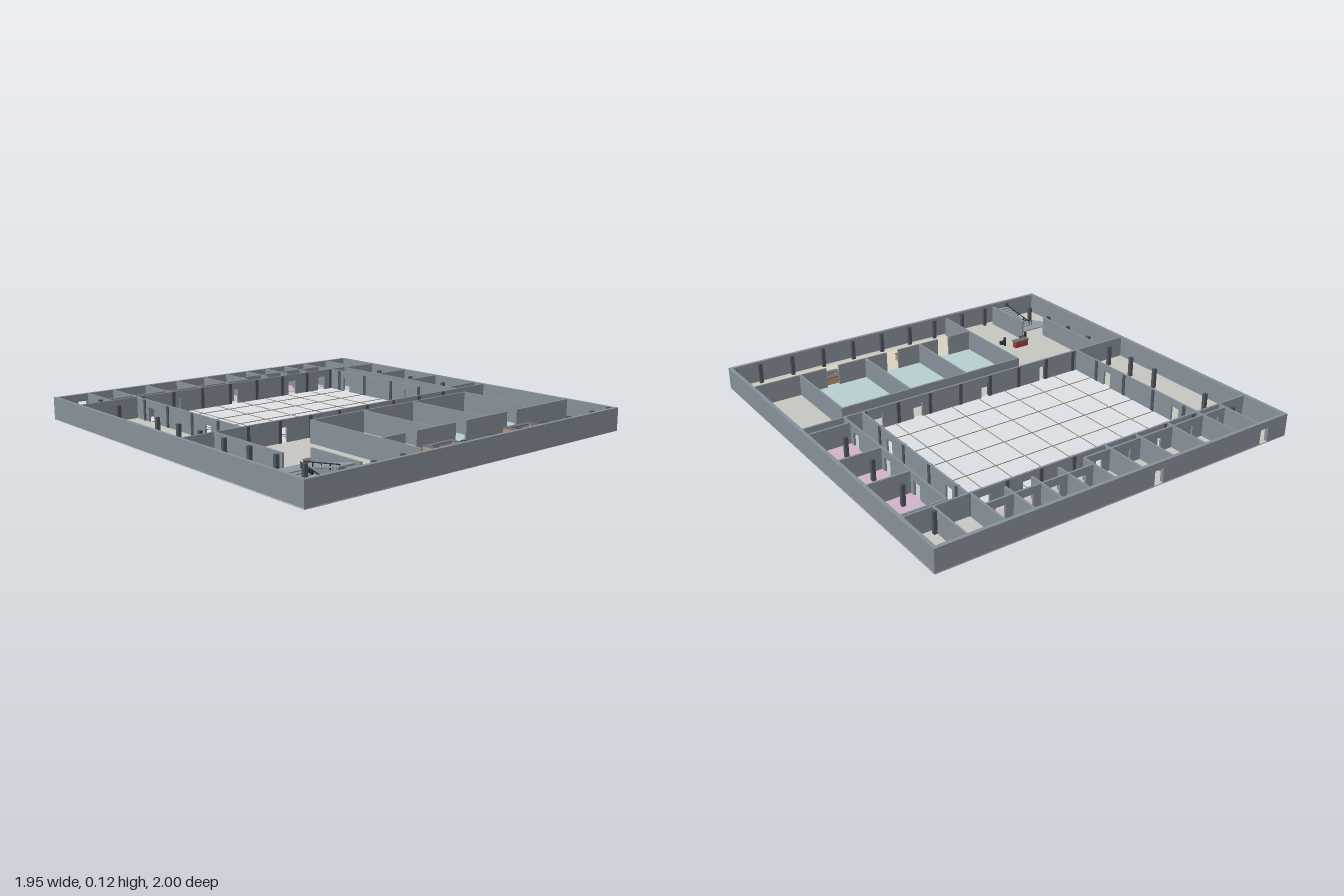
import * as THREE from 'three';

const mat = (color, extra = {}) => new THREE.MeshStandardMaterial({ color, ...extra });
const M = {
  wall: mat(0x87919a), column: mat(0x50565e), floor: mat(0xc8c8c3), pink: mat(0xd2b4ca),
  blue: mat(0xb9cfd0), cream: mat(0xdad4be), dark: mat(0x6c717a), tan: mat(0xb8977a),
  red: mat(0xa83a38), black: mat(0x2c2e32), stair: mat(0x929aa3), line: mat(0x968a74),
};
const H = 0.115, FLOOR = 0.006, DOOR_H = 0.078, DOOR_W = 0.05;

export function createModel() {
  const model = new THREE.Group();
  model.name = 'floorOfBuilding';
  const section = (name) => {
    const g = new THREE.Group();
    g.name = name;
    model.add(g);
    return g;
  };

  // Box given by its limits on each axis
  const box = (parent, name, m, x0, x1, y0, y1, z0, z1) => {
    const mesh = new THREE.Mesh(new THREE.BoxGeometry(x1 - x0, y1 - y0, z1 - z0), m);
    mesh.position.set((x0 + x1) / 2, (y0 + y1) / 2, (z0 + z1) / 2);
    mesh.name = name;
    parent.add(mesh);
    return mesh;
  };

  // Straight wall along x or z, split around doorways; a lintel closes each one unless it is open to the top
  const wall = (parent, name, axis, at, from, to, { doors = [], t = 0.01, open = false, width = DOOR_W } = {}) => {
    const piece = (a, b, y0, label) => axis === 'x'
      ? box(parent, label, M.wall, a, b, y0, H, at - t / 2, at + t / 2)
      : box(parent, label, M.wall, at - t / 2, at + t / 2, y0, H, a, b);
    let start = from;
    for (const d of [...doors].sort((a, b) => a - b)) {
      piece(start, d - width / 2, 0.001, name);
      if (!open) piece(d - width / 2, d + width / 2, DOOR_H, name + 'Lintel');
      start = d + width / 2;
    }
    piece(start, to, 0.001, name);
  };

  // Floor slab with the open court cut out
  const rect = (P, x0, x1, z0, z1) => {
    const p = new P();
    p.moveTo(x0, -z0).lineTo(x1, -z0).lineTo(x1, -z1).lineTo(x0, -z1).closePath();
    return p;
  };
  const slabShape = rect(THREE.Shape, -0.975, 0.975, -1, 1);
  slabShape.holes.push(rect(THREE.Path, -0.645, 0.65, -0.74, 0.16));
  const slabGeo = new THREE.ExtrudeGeometry(slabShape, { depth: FLOOR, bevelEnabled: false });
  const slab = new THREE.Mesh(slabGeo.rotateX(-Math.PI / 2), M.floor);
  slab.name = 'floorSlab';
  model.add(slab);

  // Coloured room floors
  const floors = section('roomFloors');
  const carpet = (name, m, x0, x1, z0, z1) => box(floors, name, m, x0, x1, FLOOR - 0.002, FLOOR + 0.002, z0, z1);
  carpet('backRoomsFloor', M.pink, 0.075, 0.64, -0.985, -0.78);
  carpet('sideRoomsFloor', M.pink, 0.745, 0.96, -0.725, 0.097);
  carpet('hallsFloor', M.blue, -0.32, 0.71, 0.25, 0.71);
  carpet('lobbyFloor', M.cream, -0.32, 0.96, 0.71, 0.95);

  // Outer walls
  const outer = section('outerWalls');
  const T = 0.018;
  wall(outer, 'backWall', 'x', -0.991, -0.975, 0.975, { t: T, doors: [-0.825, -0.165] });
  wall(outer, 'frontWall', 'x', 0.991, -0.975, 0.975, { t: T });
  for (const s of [-1, 1]) wall(outer, 'sideWall', 'z', s * 0.966, -0.982, 0.982, { t: T });

  // Walls around the court
  const court = section('courtWalls');
  const courtDoors = [-0.42, -0.05, 0.35, 0.57];
  wall(court, 'courtBackWall', 'x', -0.74, -0.96, 0.96, { doors: courtDoors });
  wall(court, 'courtFrontWall', 'x', 0.16, -0.96, 0.96, { doors: courtDoors });
  for (const x of [-0.645, 0.65]) wall(court, 'courtSideWall', 'z', x, -0.735, 0.155, { doors: [-0.6, -0.1] });

  // Fine grid across the court
  const grid = section('courtGrid');
  for (let i = 1; i < 8; i++) {
    const x = -0.65 + i * 0.161;
    box(grid, 'gridLine', M.line, x - 0.0012, x + 0.0012, 0.002, 0.005, -0.74, 0.16);
  }
  for (let i = 0; i < 5; i++) {
    const z = -0.62 + i * 0.161;
    box(grid, 'gridLine', M.line, -0.645, 0.65, 0.002, 0.005, z - 0.0012, z + 0.0012);
  }

  // Small rooms along the back
  const back = section('backRooms');
  for (const x of [-0.79, -0.645, -0.45, -0.255, -0.075, 0.64, 0.818]) wall(back, 'partition', 'z', x, -0.985, -0.74);
  for (const x of [0.075, 0.215, 0.355, 0.495]) wall(back, 'partition', 'z', x, -0.985, -0.78);
  wall(back, 'corridorWall', 'x', -0.78, -0.79, 0.075, { doors: [-0.72, -0.55, -0.35, -0.165, 0] });
  wall(back, 'roomWall', 'x', -0.845, 0.075, 0.64, { doors: [0.145, 0.285, 0.425, 0.567] });

  // Rooms along the side
  const side = section('sideRooms');
  wall(side, 'corridorWall', 'z', 0.745, -0.725, 0.16, { doors: [-0.5, -0.25, 0.04] });
  for (const z of [-0.725, -0.445, -0.195, 0.097]) wall(side, 'partition', 'x', z, 0.745, 0.96);

  // Three halls and the lobby in front of them
  const halls = section('halls');
  wall(halls, 'hallBackWall', 'x', 0.25, -0.325, 0.715);
  wall(halls, 'hallFrontWall', 'x', 0.71, -0.32, 0.96, { doors: [-0.145, 0.175, 0.53], open: true, width: 0.07 });
  wall(halls, 'lobbyEndWall', 'z', -0.32, 0.25, 0.95);
  for (const x of [0.005, 0.335, 0.71]) wall(halls, 'hallPartition', 'z', x, 0.25, 0.71);
  wall(halls, 'stairPassageWall', 'z', -0.79, 0.16, 0.64);
  wall(halls, 'stairWall', 'z', -0.65, 0.65, 0.95);

  // Columns
  const columns = section('columns');
  const column = (x, z, r = 0.009) => box(columns, 'column', M.column, x - r, x + r, 0.002, H - 0.002, z - r, z + r);
  for (const z of [-0.8, -0.62, -0.26, -0.08, 0.095, 0.275, 0.455, 0.635, 0.815]) column(-0.82, z);
  for (const x of [-0.755, -0.595, -0.435, -0.245, -0.08, 0.1, 0.28, 0.46, 0.64, 0.82, 0.955]) column(x, 0.96);
  for (const z of [-0.77, -0.52, -0.265, -0.015]) {
    column(0.83, z);
  }
  for (let i = 0; i < 8; i++) for (const z of [-0.74, 0.16]) column(-0.615 + i * 0.179, z);
  for (const z of [-0.66, -0.445, -0.23, -0.015]) for (const x of [-0.645, 0.65]) column(x, z);

  // Ring shaped counters in the lobby
  for (const x of [0.008, 0.548]) {
    const g = section('lobbyCounter');
    const ring = (name, m, y0, y1) => {
      for (const s of [-1, 1]) {
        const cz = 0.77 + s * 0.031, cx = x + s * 0.078;
        box(g, name, m, x - 0.09, x + 0.09, y0, y1, cz - 0.014, cz + 0.014);
        box(g, name, m, cx - 0.012, cx + 0.012, y0, y1, 0.753, 0.787);
      }
    };
    ring('counterBody', M.tan, FLOOR, 0.042);
    ring('counterTop', M.dark, 0.042, 0.047);
    box(g, 'counterInside', M.tan, x - 0.066, x + 0.066, FLOOR, 0.03, 0.753, 0.787);
  }

  // Reception desk and two chairs
  const desk = section('receptionDesk');
  box(desk, 'deskBody', M.red, -0.625, -0.54, FLOOR, 0.04, 0.568, 0.597);
  box(desk, 'deskTop', M.dark, -0.63, -0.535, 0.04, 0.046, 0.565, 0.6);
  for (const x of [-0.655, -0.513]) {
    const g = section('chair');
    box(g, 'chairSeat', M.black, x - 0.014, x + 0.014, FLOOR, 0.024, 0.651, 0.67);
    box(g, 'chairPost', M.black, x - 0.005, x + 0.005, FLOOR, 0.055, 0.63, 0.641);
  }

  // Stairs: two flights meeting at a half landing
  const stairs = section('stairs');
  const N = 10, zNear = 0.92, zLand = 0.7, mid = 0.056, run = (zNear - zLand) / N, rise = (mid - FLOOR) / N;
  box(stairs, 'landing', M.stair, -0.83, -0.655, mid - 0.006, mid, 0.65, zLand);
  for (let i = 0; i < N; i++) {
    const z1 = zNear - i * run, y1 = FLOOR + (i + 1) * rise;
    box(stairs, 'lowerStep', M.stair, -0.83, -0.748, y1 - 0.008, y1, z1 - run, z1);
    const z0 = zLand + i * run, y2 = mid + (i + 1) * rise;
    box(stairs, 'upperStep', M.stair, -0.735, -0.655, y2 - 0.008, y2, z0, z0 + run);
  }
  // Sloping handrails on both sides of the gap
  const rail = (x, yNear, yFar) => {
    const len = Math.hypot(zNear - zLand, yNear - yFar);
    const m = new THREE.Mesh(new THREE.BoxGeometry(0.004, 0.004, len), M.black);
    m.position.set(x, (yNear + yFar) / 2 + 0.025, (zNear + zLand) / 2);
    m.rotation.x = -Math.atan2(yNear - yFar, zNear - zLand);
    m.name = 'handrail';
    stairs.add(m);
    for (let i = 0; i <= 4; i++) {
      const z = zLand + 0.004 + (i / 4) * (zNear - zLand - 0.008), y = yFar + (i / 4) * (yNear - yFar);
      box(stairs, 'railPost', M.black, x - 0.0015, x + 0.0015, y, y + 0.025, z - 0.0015, z + 0.0015);
    }
  };
  rail(-0.75, FLOOR, mid);
  rail(-0.733, 0.088, mid);

  return model;
}
